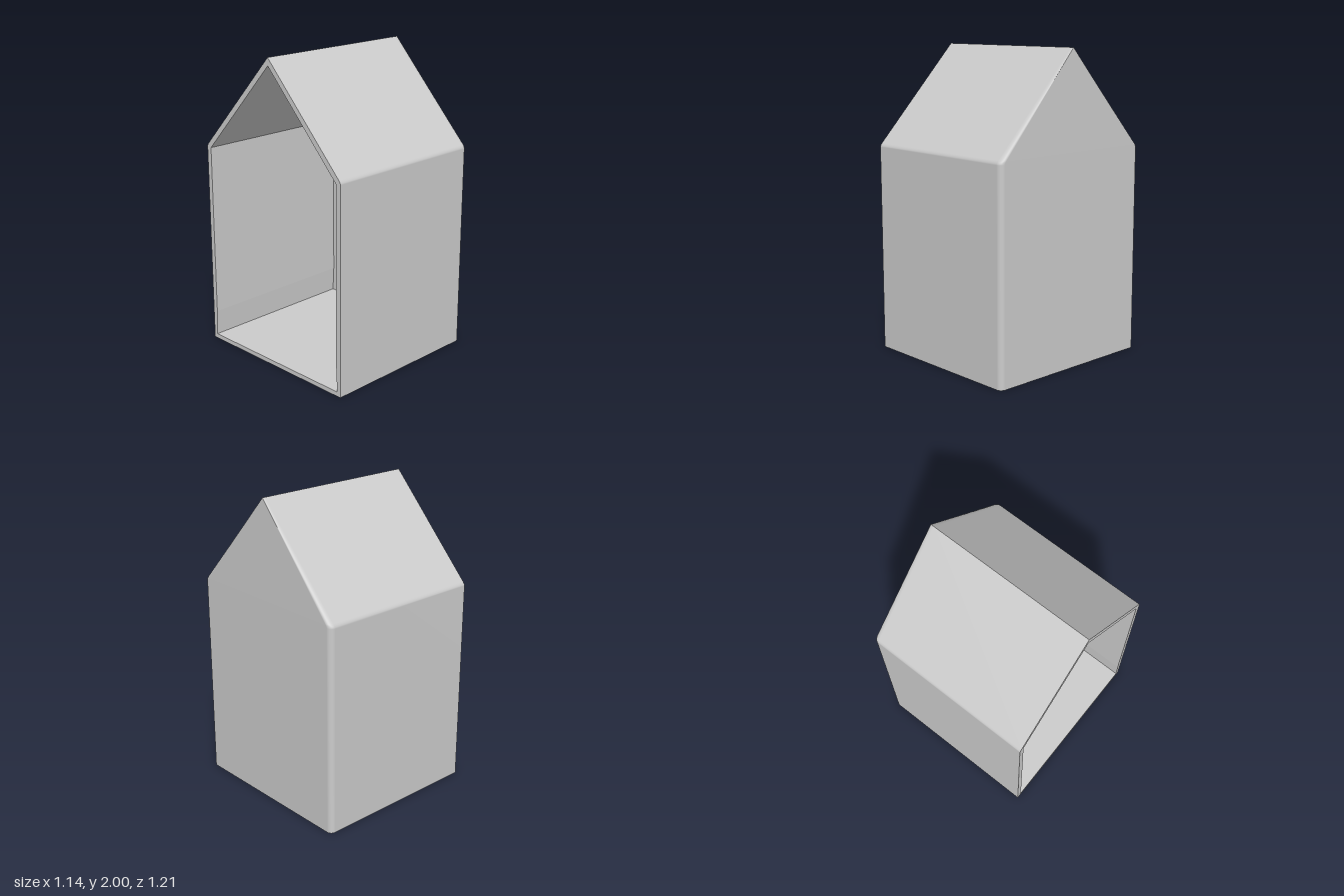
import * as THREE from 'three';

const H = 0.605;      // half depth
const X0 = -0.575;    // open end
const R = 0.035;      // corner radius at the closed gable
const XC = 0.535;     // where the corner rounding starts
const FLOOR = 0.03;

// half profiles as [z, y], from floor to ridge
const OUTER = [[H, 0], [H, 1.348], [H - 0.002, 1.356], [H - 0.006, 1.364], [H - 0.013, 1.373], [0, 2]];
const INNER = [[H - 0.027, FLOOR], [H - 0.035, 0.2], [H - 0.035, 1.345], [0, 1.95]];

// skin a grid of rings; each ring is a list of [x, y, z]
function skin(rings, flip) {
  const n = rings[0].length, index = [];
  for (let i = 0; i < rings.length - 1; i++) {
    for (let j = 0; j < n - 1; j++) {
      const a = i * n + j, b = a + n, c = b + 1, d = a + 1;
      index.push(...(flip ? [a, c, b, a, d, c] : [a, b, c, a, c, d]));
    }
  }
  const g = new THREE.BufferGeometry();
  g.setAttribute('position', new THREE.Float32BufferAttribute(rings.flat(2), 3));
  g.setIndex(index);
  g.computeVertexNormals();
  return g;
}

// outer half: straight run, rounded corner, then the gable up to the centre line
function outerHalf(s) {
  const ring = (x, apexX, inset) => OUTER.map(([z, y]) =>
    z === 0 ? [apexX, y, 0] : [x, y, s * (z - inset)]);
  const rings = [ring(X0, X0, 0)];
  const steps = 8;
  for (let k = 0; k <= steps; k++) {
    const t = (k / steps) * Math.PI / 2;
    rings.push(ring(XC + R * Math.sin(t), XC + 0.025 * Math.sin(t), R * (1 - Math.cos(t))));
  }
  rings.push(rings[rings.length - 1].map(([x, y]) => [x, y, 0]));
  return skin(rings, s < 0);
}

// inner half: wall, roof underside and half of the gable's inside
function innerHalf(s) {
  const ring = (x, k) => INNER.map(([z, y]) => [x, y, s * z * k]);
  return skin([ring(X0, 1), ring(XC, 1), ring(XC, 0)], s > 0);
}

const outline = (half) => [...half, ...half.slice(0, -1).reverse().map(([z, y]) => [-z, y])]
  .map(([z, y]) => new THREE.Vector2(z, y));

export function createModel() {
  const group = new THREE.Group();
  group.name = 'openHouse';
  const smooth = new THREE.MeshStandardMaterial({ color: 0xcccccc });
  const flat = new THREE.MeshStandardMaterial({ color: 0xcccccc, flatShading: true });
  const add = (name, geometry, material) => {
    const mesh = new THREE.Mesh(geometry, material);
    mesh.name = name;
    group.add(mesh);
  };

  for (const [s, side] of [[1, 'front'], [-1, 'back']]) {
    add(side + 'OuterShell', outerHalf(s), smooth);
    add(side + 'InnerShell', innerHalf(s), flat);
  }

  // rim around the open end
  const rim = new THREE.Shape(outline(OUTER));
  rim.holes.push(new THREE.Path(outline(INNER)));
  add('openingRim', new THREE.ShapeGeometry(rim).rotateY(-Math.PI / 2).translate(X0, 0, 0), flat);

  // underside, with the two rounded corners
  const base = new THREE.Shape();
  base.moveTo(X0, -H);
  base.lineTo(XC, -H);
  base.absarc(XC, -H + R, R, -Math.PI / 2, 0, false);
  base.absarc(XC, H - R, R, 0, Math.PI / 2, false);
  base.lineTo(X0, H);
  add('underside', new THREE.ShapeGeometry(base, 8).rotateX(Math.PI / 2), flat);

  // floor inside
  const floor = new THREE.PlaneGeometry(XC - X0, 2 * INNER[0][0]).rotateX(-Math.PI / 2);
  add('floor', floor.translate((XC + X0) / 2, FLOOR, 0), flat);

  return group;
}
